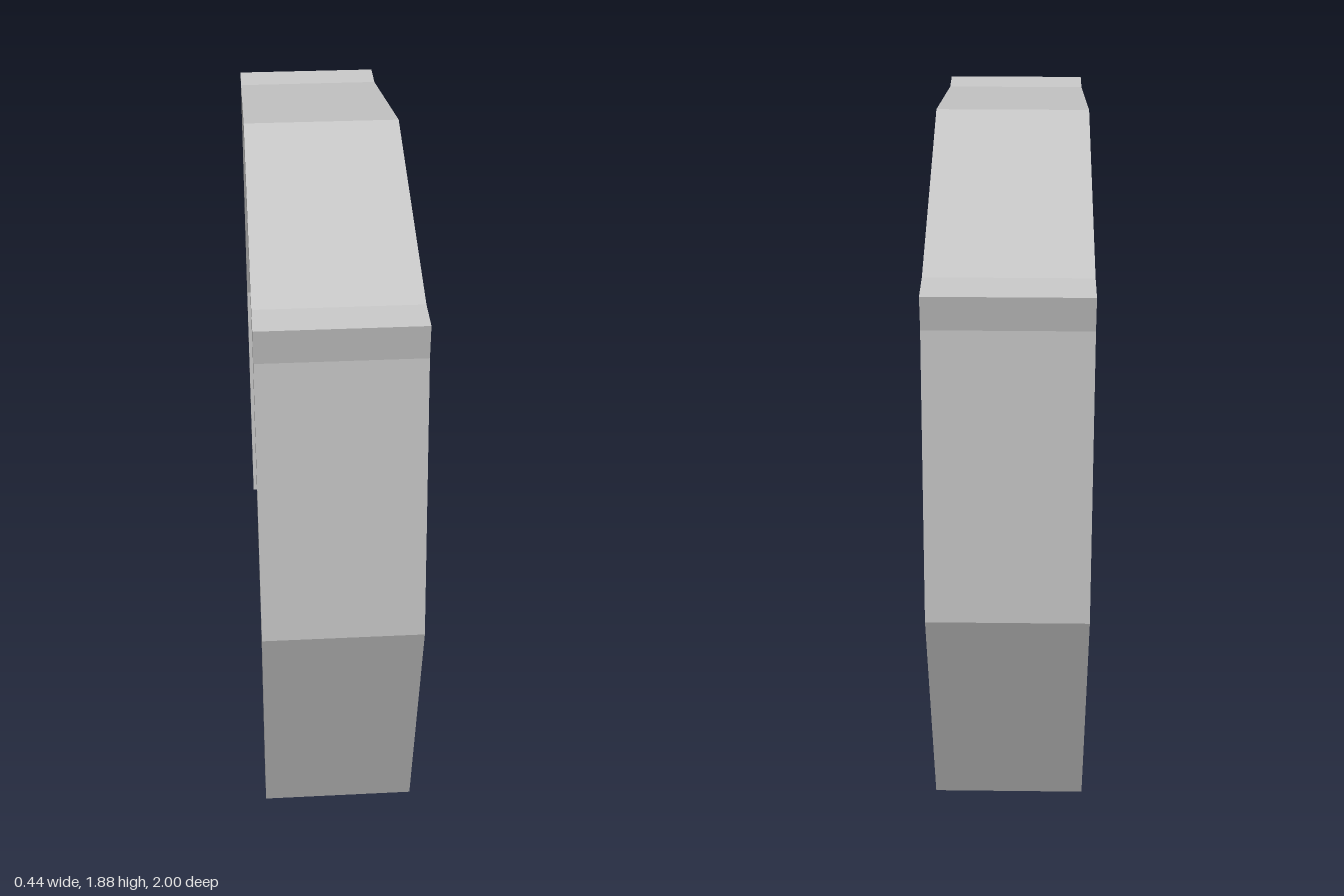
import * as THREE from 'three';

const WIDTH = 0.445;

// Side profile of the arch as [z, y]: outer edge front to back, then inner edge back to front
const outer = [
  [0.85, 0], [1, 0.8], [0.85, 1.6], [0.85, 1.695], [0.745, 1.695],
  [0.015, 1.88],
  [-0.715, 1.695], [-0.825, 1.695], [-0.825, 1.6], [-1, 0.8], [-0.825, 0],
];
const inner = [
  [-0.715, 0], [-0.885, 0.8], [-0.715, 1.6],
  [0.015, 1.78],
  [0.745, 1.6], [0.892, 0.8], [0.745, 0],
];

export function createModel() {
  const group = new THREE.Group();
  group.name = 'arch';

  // Bent band: two kinked legs joined by a shallow gable
  const shape = new THREE.Shape([...outer, ...inner].map(([z, y]) => new THREE.Vector2(z, y)));
  const geometry = new THREE.ExtrudeGeometry(shape, { depth: WIDTH, bevelEnabled: false });
  geometry.translate(0, 0, -WIDTH / 2);
  geometry.rotateY(-Math.PI / 2); // profile x becomes z, depth becomes x

  const material = new THREE.MeshStandardMaterial({ color: 0xcccccc, flatShading: true });
  const band = new THREE.Mesh(geometry, material);
  band.name = 'archBand';
  group.add(band);
  return group;
}
